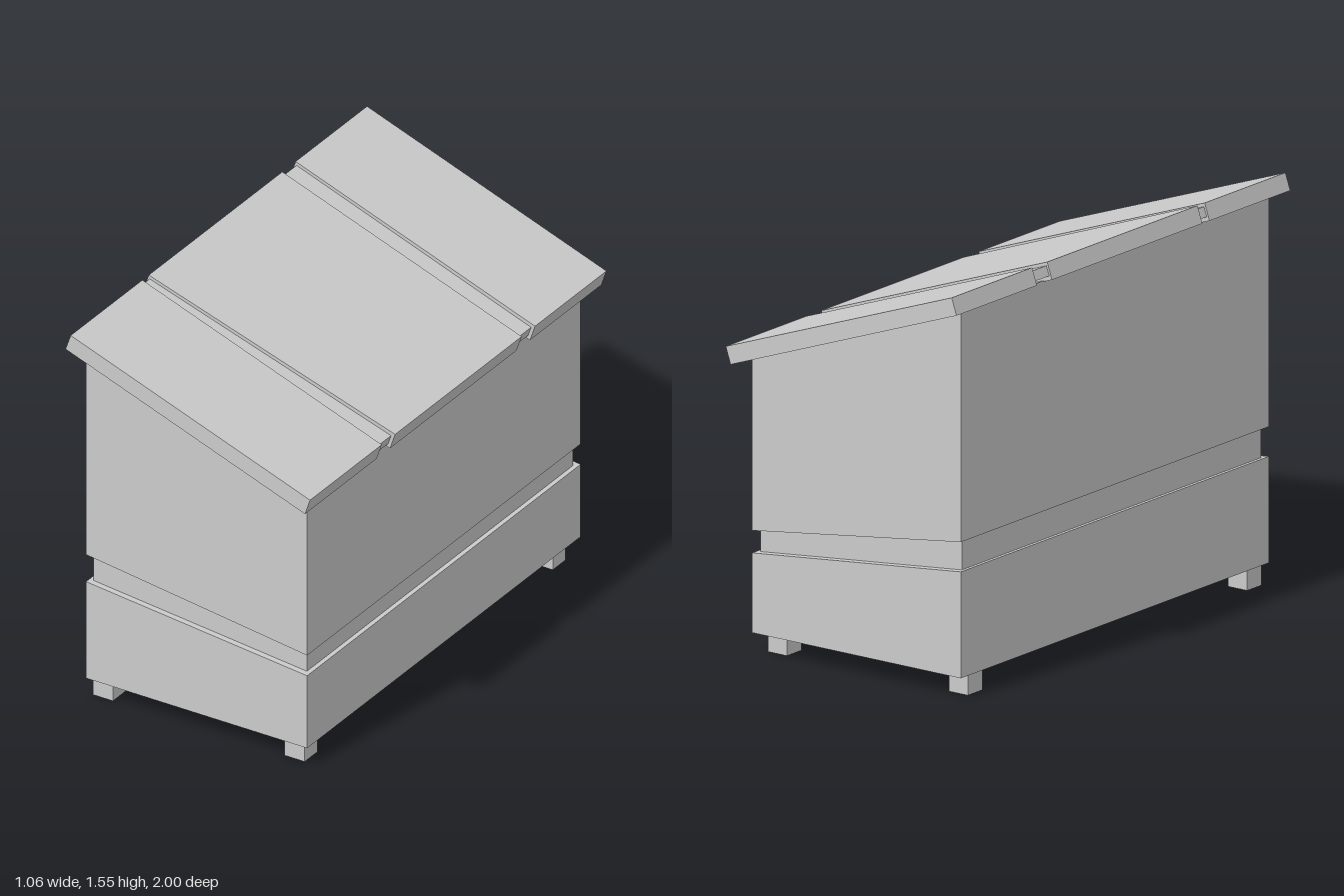
import * as THREE from 'three';

const material = new THREE.MeshStandardMaterial({ color: 0xcccccc, flatShading: true });

// Extrudes an outline in the xy plane from z0 to z1
function prism(name, points, z0, z1) {
  const shape = new THREE.Shape(points.map(([x, y]) => new THREE.Vector2(x, y)));
  const geometry = new THREE.ExtrudeGeometry(shape, { depth: z1 - z0, bevelEnabled: false });
  geometry.translate(0, 0, z0);
  const mesh = new THREE.Mesh(geometry, material);
  mesh.name = name;
  return mesh;
}

export function createModel() {
  const group = new THREE.Group();
  group.name = 'slantedRoofCrate';

  // Body: lower box, recessed band and upper box, all with sloping seams
  group.add(
    prism('lowerBody', [[-0.49, 0.08], [0.465, 0.08], [0.465, 0.383], [-0.49, 0.484]], -0.923, 0.923),
    prism('recessedBand', [[-0.474, 0.4], [0.448, 0.33], [0.448, 0.52], [-0.474, 0.65]], -0.896, 0.898),
    prism('upperBody', [[-0.49, 0.597], [0.465, 0.468], [0.465, 1.13], [-0.49, 1.472]], -0.923, 0.923),
  );

  // Roof: three sloping panels over narrower strips in the gaps
  const panel = [[-0.529, 1.482], [0.505, 1.109], [0.527, 1.174], [-0.507, 1.546]];
  const strip = [[-0.517, 1.495], [0.497, 1.126], [0.51, 1.164], [-0.503, 1.531]];
  group.add(
    prism('frontRoofPanel', panel, 0.516, 1),
    prism('backRoofPanel', panel, -1, -0.518),
    prism('frontRoofStrip', strip, 0.4, 0.54),
    prism('backRoofStrip', strip, -0.54, -0.41),
  );

  // Middle panel: its front edge runs at a slight angle
  const middle = prism('middleRoofPanel', panel, -0.428, 0.45);
  const position = middle.geometry.attributes.position;
  for (let i = 0; i < position.count; i++) {
    if (position.getZ(i) > 0) position.setZ(i, position.getX(i) < 0 ? 0.473 : 0.426);
  }
  middle.geometry.computeVertexNormals();
  group.add(middle);

  // Feet
  for (const x of [-0.436, 0.392]) {
    for (const z of [-0.824, 0.85]) {
      const foot = new THREE.Mesh(new THREE.BoxGeometry(0.087, 0.085, 0.087), material);
      foot.name = 'foot';
      foot.position.set(x, 0.0425, z);
      group.add(foot);
    }
  }
  return group;
}
